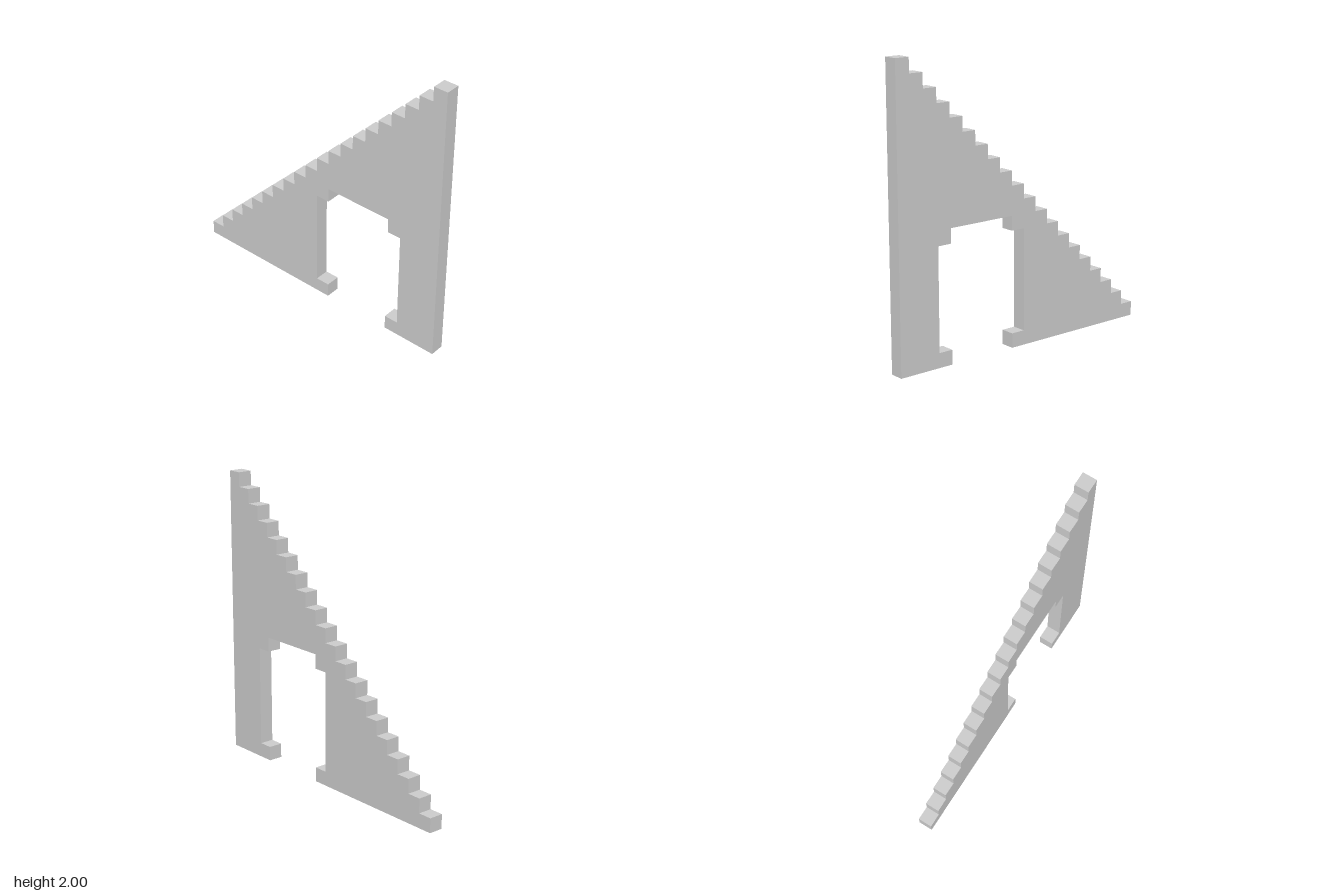
import * as THREE from 'three';

const STEP = 0.1;
const STEPS = 20;
const THICKNESS = 0.1;

export function createModel() {
  const group = new THREE.Group();
  group.name = 'steppedArchWall';

  // Side profile as [z, y]: the base, interrupted by the doorway
  const profile = [
    [-1, 0], [0.1, 0], [0.1, 0.1], [0, 0.1], [0, 0.8], [0.1, 0.8], [0.1, 0.9],
    [0.6, 0.9], [0.6, 0.8], [0.7, 0.8], [0.7, 0.1], [0.6, 0.1], [0.6, 0],
    [1, 0], [1, 2],
  ];

  // Staircase descending from the tall front edge to the back
  for (let i = STEPS - 1; i >= 0; i--) {
    const z = -1 + i * STEP;
    profile.push([z, (i + 1) * STEP]);
    if (i > 0) profile.push([z, i * STEP]);
  }

  // Extrude the profile across the wall's thickness and turn it along z
  const shape = new THREE.Shape(profile.map(([z, y]) => new THREE.Vector2(z, y)));
  const geometry = new THREE.ExtrudeGeometry(shape, { depth: THICKNESS, bevelEnabled: false });
  geometry.translate(0, 0, -THICKNESS / 2);
  geometry.rotateY(-Math.PI / 2);

  const material = new THREE.MeshStandardMaterial({ color: 0xcccccc, flatShading: true });
  const wall = new THREE.Mesh(geometry, material);
  wall.name = 'stairWall';
  group.add(wall);

  return group;
}
